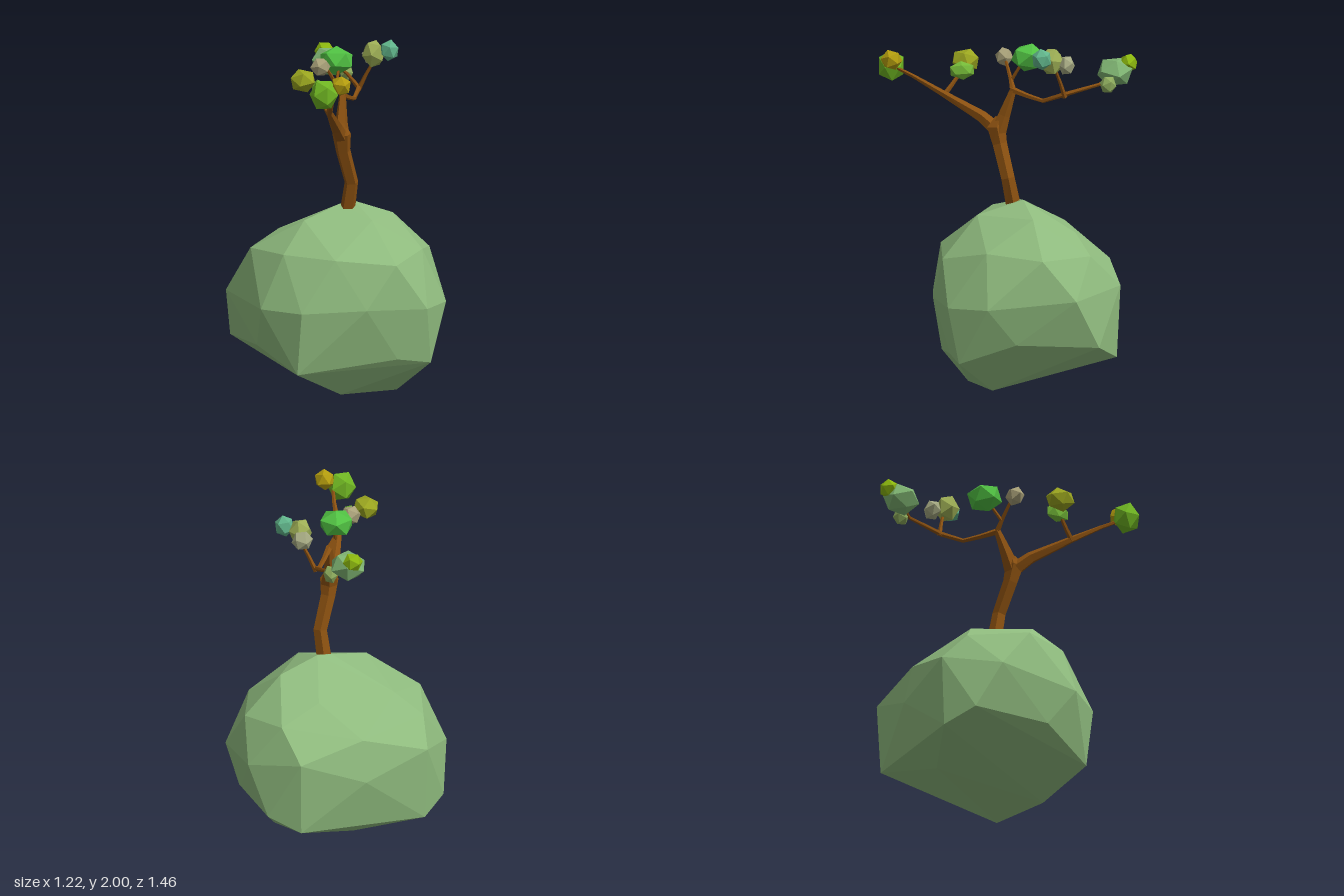
import * as THREE from 'three';
import { ConvexGeometry } from 'three/addons/geometries/ConvexGeometry.js';

const V = (a) => new THREE.Vector3(a[0], a[1], a[2]);
const material = (color) => new THREE.MeshStandardMaterial({ color, flatShading: true });

function addMesh(parent, name, geometry, mat) {
  const mesh = new THREE.Mesh(geometry, mat);
  mesh.name = name;
  parent.add(mesh);
  return mesh;
}

// Tapered limb: each path entry is [x, y, z, radius]
function limb(path, sides = 5) {
  const pts = path.map(V), pos = [], index = [];
  const up = new THREE.Vector3(0, 1, 0);
  path.forEach((p, i) => {
    const tangent = pts[Math.min(i + 1, pts.length - 1)].clone()
      .sub(pts[Math.max(i - 1, 0)]).normalize();
    const q = new THREE.Quaternion().setFromUnitVectors(up, tangent);
    for (let j = 0; j < sides; j++) {
      const a = (j / sides) * Math.PI * 2;
      const v = new THREE.Vector3(Math.cos(a) * p[3], 0, Math.sin(a) * p[3]);
      pos.push(...v.applyQuaternion(q).add(pts[i]).toArray());
      if (i === path.length - 1) continue;
      const k = i * sides + j, n = i * sides + (j + 1) % sides;
      index.push(k, k + sides, n, n, k + sides, n + sides);
    }
  });
  const g = new THREE.BufferGeometry();
  g.setAttribute('position', new THREE.Float32BufferAttribute(pos, 3));
  g.setIndex(index);
  g.computeVertexNormals();
  return g;
}

export function createModel() {
  const model = new THREE.Group();
  model.name = 'treeOnBoulder';

  // Faceted boulder: corners shared by both sides, then the uneven ones
  const mirrored = [
    [0.38, 0.5, 0.40], [0.56, 0.51, 0.19], [0.61, 0.56, -0.32],
    [0.39, 0.62, -0.60], [0.54, 0.28, -0.46], [0.38, 0.2, -0.58],
    [0.42, 0.82, 0.18],
  ];
  const single = [
    [0.09, 1.08, -0.07], [0, 1.07, -0.06], [0.33, 1.0, -0.1], [-0.26, 1.0, 0.07],
    [0.11, 1.0, 0.2], [0.56, 0.79, -0.13], [-0.53, 0.83, -0.1],
    [0.19, 0.76, 0.41], [-0.17, 0.8, 0.38], [0, 0.51, 0.445],
    [-0.28, 0.9, -0.35], [0.19, 0.9, -0.36], [0.44, 0.8, -0.42], [-0.42, 0.78, -0.45],
    [0, 0.72, -0.58], [0, 0.48, -0.635], [0, 0.11, -0.42],
    [0.42, 0.18, 0.34], [0.21, 0.21, 0.37], [-0.39, 0.14, 0.35],
    [-0.53, 0.28, 0.02], [0.53, 0.3, 0.02], [0.28, 0, 0.13], [-0.09, 0, 0.23],
  ];
  const corners = single.map(V);
  for (const [x, y, z] of mirrored) corners.push(V([x, y, z]), V([-x, y, z]));
  addMesh(model, 'boulder', new ConvexGeometry(corners), material(0x8fbb7e));

  // Trunk and branches
  const bark = material(0x8a5010);
  const limbs = {
    trunk: [[0.03, 1.03, -0.02, 0.045], [0.043, 1.2, 0.015, 0.041],
      [-0.02, 1.39, 0.055, 0.044], [-0.035, 1.49, 0.075, 0.056], [-0.03, 1.55, 0.06, 0.02]],
    frontBranch: [[-0.03, 1.46, 0.06, 0.045], [-0.09, 1.54, 0.15, 0.036],
      [-0.2, 1.66, 0.36, 0.02], [-0.235, 1.76, 0.53, 0.012], [-0.27, 1.82, 0.65, 0.009]],
    frontTwig: [[-0.2, 1.65, 0.36, 0.016], [-0.22, 1.71, 0.31, 0.013], [-0.25, 1.8, 0.24, 0.009]],
    backBranch: [[-0.03, 1.46, 0.065, 0.05], [-0.022, 1.56, 0.03, 0.037],
      [0, 1.71, -0.02, 0.02], [-0.04, 1.77, -0.01, 0.012], [-0.1, 1.86, 0.01, 0.009]],
    crownTwig: [[-0.04, 1.76, -0.015, 0.011], [0, 1.88, -0.08, 0.008]],
    sweepingBranch: [[-0.005, 1.71, -0.01, 0.02], [0.06, 1.68, -0.1, 0.015],
      [0.12, 1.66, -0.18, 0.013], [0.185, 1.705, -0.29, 0.015],
      [0.18, 1.76, -0.5, 0.01], [0.12, 1.81, -0.59, 0.008]],
    sideTwig: [[0.185, 1.69, -0.3, 0.015], [0.22, 1.78, -0.27, 0.011], [0.265, 1.88, -0.23, 0.008]],
  };
  for (const [name, path] of Object.entries(limbs)) addMesh(model, name, limb(path), bark);

  // Leaf clusters: position, radii, colour
  const clusters = [
    [[-0.325, 1.81, 0.65], [0.085, 0.095, 0.085], 0x6fb522],
    [[-0.225, 1.86, 0.66], [0.062, 0.062, 0.065], 0xb39c0e],
    [[-0.315, 1.835, 0.22], [0.08, 0.07, 0.09], 0x9aa51f],
    [[-0.23, 1.79, 0.25], [0.04, 0.055, 0.08], 0x74b838],
    [[-0.145, 1.88, 0.015], [0.062, 0.058, 0.055], 0xa8a078],
    [[-0.01, 1.895, -0.11], [0.108, 0.085, 0.105], 0x50c042],
    [[0.1, 1.82, -0.6], [0.11, 0.09, 0.11], 0x7fb472],
    [[0.1, 1.87, -0.68], [0.06, 0.058, 0.055], 0x8cb80e],
    [[0.19, 1.76, -0.55], [0.042, 0.055, 0.05], 0x8caa5c],
    [[0.25, 1.91, -0.215], [0.07, 0.085, 0.075], 0x9dae55],
    [[0.325, 1.935, -0.15], [0.058, 0.065, 0.06], 0x60b48a],
    [[0.27, 1.89, -0.3], [0.065, 0.06, 0.05], 0xa5a982],
  ];
  clusters.forEach(([at, radii, color], i) => {
    const geometry = new THREE.IcosahedronGeometry(1, 0);
    geometry.rotateY(i * 1.7).rotateX(i * 0.9).scale(...radii);
    addMesh(model, `leafCluster${i + 1}`, geometry, material(color)).position.set(...at);
  });

  return model;
}
